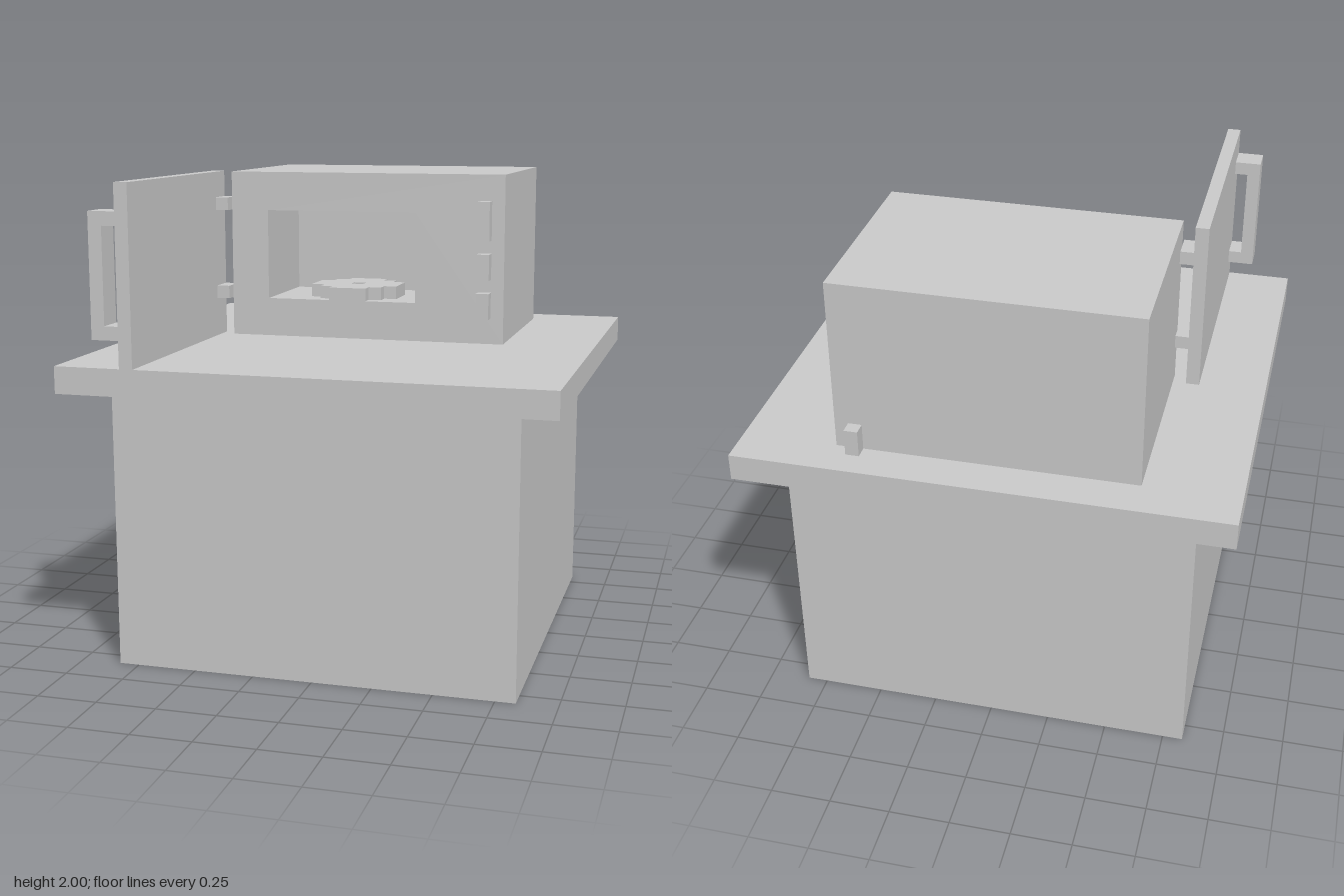
import * as THREE from 'three';

// All sizes are in blocks; 18 blocks make one unit.
const BLOCK = 1 / 18;
const material = new THREE.MeshStandardMaterial({ color: 0xcccccc, flatShading: true });

const rect = (x0, y0, x1, y1) =>
  [[x0, y0], [x1, y0], [x1, y1], [x0, y1]].map(([x, y]) => new THREE.Vector2(x, y));

export function createModel() {
  const model = new THREE.Group();
  model.name = 'microwaveOnTable';
  const blocks = new THREE.Group();
  blocks.scale.setScalar(BLOCK);
  model.add(blocks);

  const add = (name, geometry) => {
    const mesh = new THREE.Mesh(geometry, material);
    mesh.name = name;
    blocks.add(mesh);
  };

  // Box from its low and high corners
  const box = (name, [x0, y0, z0], [x1, y1, z1]) =>
    add(name, new THREE.BoxGeometry(x1 - x0, y1 - y0, z1 - z0)
      .translate((x0 + x1) / 2, (y0 + y1) / 2, (z0 + z1) / 2));

  // Outline with one hole, extruded along z
  const slab = (outline, hole, depth) => {
    const shape = new THREE.Shape(outline);
    shape.holes.push(new THREE.Path(hole));
    return new THREE.ExtrudeGeometry(shape, { depth, bevelEnabled: false });
  };
  // The same lying flat: outline y is -z, thickness goes up from y0
  const flatSlab = (outline, hole, y0, height) =>
    slab(outline, hole, height).rotateX(-Math.PI / 2).translate(0, y0, 0);

  // Cabinet and table top, with a cable hole at the back
  box('cabinet', [-15, 0, -15], [15, 21, 15]);
  add('tableTop', flatSlab(rect(-18, -18, 18, 18), rect(9, 15, 10, 16), 21, 2));

  // Oven: front frame around the cavity, solid back
  add('ovenFront', slab(rect(-11, 23, 11, 36), rect(-8, 26, 4, 33), 8).translate(0, 0, -8));
  box('ovenBack', [-11, 23, -15], [11, 36, -8]);
  box('powerCable', [9, 23, -16], [10, 25, -15]);

  // Stepped round turntable with a hole in the middle
  const quarter = [[3.5, -1.5], [3.5, 1.5], [2.5, 1.5], [2.5, 2.5], [1.5, 2.5], [1.5, 3.5]];
  const right = [[1.5, -3.5], [1.5, -2.5], [2.5, -2.5], [2.5, -1.5], ...quarter];
  const left = right.map(([x, y]) => [-x, -y]);
  const plate = [...right, ...left].map(([x, y]) => new THREE.Vector2(x - 1.5, y + 3.5));
  add('turntable', flatSlab(plate, rect(-2, 3, -1, 4), 26, 1));

  // Control buttons
  for (const [y0, y1] of [[25, 27], [28, 30], [31, 34]]) {
    box('button', [9, y0, 0], [10, y1, 1]);
  }

  // Open door with hinges and handle
  box('door', [-13, 23, -1], [-12, 36, 18]);
  for (const y of [26, 33]) box('hinge', [-12, y, -1], [-11, y + 1, 1]);
  box('handleGrip', [-15, 25, 16], [-14, 34, 18]);
  for (const y of [25, 33]) box('handleArm', [-14, y, 16], [-13, y + 1, 18]);

  return model;
}
